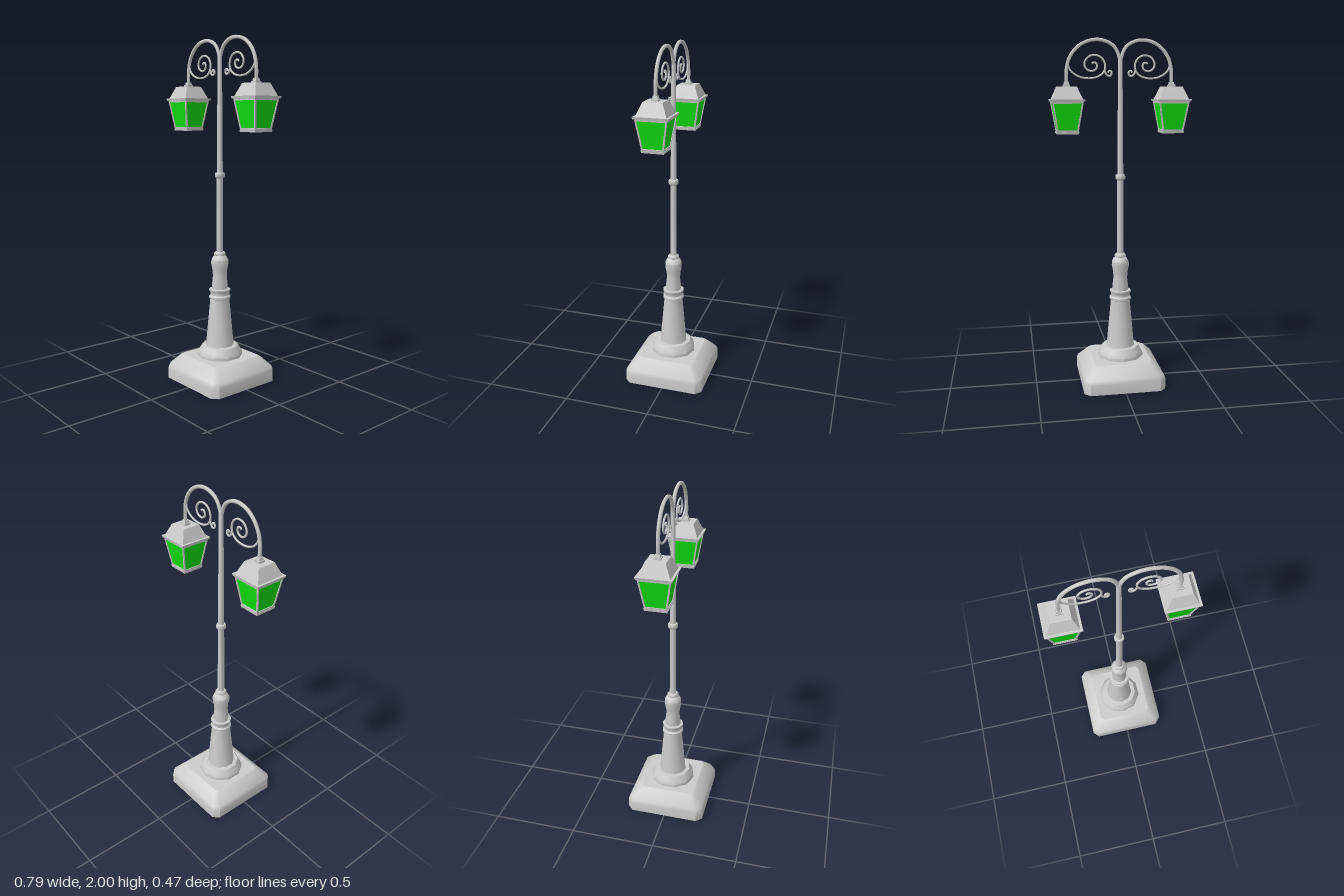
import * as THREE from 'three';
import { toCreasedNormals } from 'three/addons/utils/BufferGeometryUtils.js';

const metal = new THREE.MeshStandardMaterial({ color: 0xcccccc, side: THREE.DoubleSide });
const flatMetal = new THREE.MeshStandardMaterial({ color: 0xcccccc, flatShading: true });
const glassMat = new THREE.MeshStandardMaterial({ color: 0x10e010, flatShading: true });
const POLE_X = -0.005;
const v2 = ([x, y]) => new THREE.Vector2(x, y);

function add(parent, name, geometry, material = metal) {
  const mesh = new THREE.Mesh(geometry, material);
  mesh.name = name;
  parent.add(mesh);
  return mesh;
}

// Ten-sided turned part from [radius, height] pairs
function turned(parent, name, profile) {
  const geo = new THREE.LatheGeometry(profile.map(v2), 10);
  const mesh = add(parent, name, toCreasedNormals(geo, 0.7));
  mesh.position.x = POLE_X;
  return mesh;
}

// Square block with different half widths at the bottom and top
function squareBlock(parent, name, bottom, top, y0, y1, material = flatMetal) {
  const geo = new THREE.CylinderGeometry(top * Math.SQRT2, bottom * Math.SQRT2, y1 - y0, 4);
  geo.rotateY(Math.PI / 4).translate(0, (y0 + y1) / 2, 0);
  return add(parent, name, geo, material);
}

// Square outline with cut corners, counter-clockwise
function cutSquare(h, c) {
  const k = h - c;
  return [[h, -k], [h, k], [k, h], [-k, h], [-h, k], [-h, -k], [-k, -h], [k, -h]];
}

// Hollow base: walls lofted through cut squares, deck with a round opening
function buildBase(parent) {
  const levels = [[0.237, 0.033, 0], [0.237, 0.033, 0.064], [0.231, 0.032, 0.082],
    [0.176, 0.022, 0.142], [0.166, 0.02, 0.148]];
  const pos = [], idx = [];
  levels.forEach(([h, c, y], r) => {
    cutSquare(h, c).forEach(([x, z], i) => {
      pos.push(x, y, -z);
      if (r === 0) return;
      const j = (i + 1) % 8, a = (r - 1) * 8, b = r * 8;
      idx.push(a + i, a + j, b + j, a + i, b + j, b + i);
    });
  });
  const walls = new THREE.BufferGeometry();
  walls.setAttribute('position', new THREE.Float32BufferAttribute(pos, 3));
  walls.setIndex(idx);
  add(parent, 'baseWalls', toCreasedNormals(walls, 0.75));

  const deck = new THREE.Shape(cutSquare(0.166, 0.02).map(v2));
  const hole = new THREE.Path();
  hole.absarc(POLE_X, 0, 0.125, 0, Math.PI * 2, true);
  deck.holes.push(hole);
  const geo = new THREE.ShapeGeometry(deck, 10).rotateX(-Math.PI / 2).translate(0, 0.148, 0);
  add(parent, 'baseDeck', geo);
}

// Round bar along a smooth curve in the xy plane; side mirrors it
function bar(parent, name, points, side, radius, segments) {
  const curve = new THREE.CatmullRomCurve3(
    points.map(([x, y]) => new THREE.Vector3(POLE_X * (1 - x / 0.298) + side * x, y, 0)));
  return add(parent, name, new THREE.TubeGeometry(curve, segments, radius, 6));
}

function buildArm(parent, side) {
  const arm = new THREE.Group();
  arm.name = side > 0 ? 'leftArm' : 'rightArm';
  bar(arm, 'archedBar', [[0, 1.86], [0.008, 1.9], [0.035, 1.951], [0.085, 1.98], [0.14, 1.986],
    [0.2, 1.97], [0.25, 1.932], [0.283, 1.88], [0.297, 1.82], [0.298, 1.74]], side, 0.0105, 28);
  // Scroll runs under the arch and winds inwards
  bar(arm, 'scroll', [[0.292, 1.865], [0.277, 1.822], [0.236, 1.789], [0.18, 1.777], [0.125, 1.786],
    [0.092, 1.812], [0.084, 1.848], [0.1, 1.885], [0.138, 1.903], [0.178, 1.892], [0.199, 1.856],
    [0.188, 1.828], [0.16, 1.816], [0.135, 1.827], [0.129, 1.85], [0.142, 1.864], [0.158, 1.858]],
  side, 0.006, 60);
  bar(arm, 'smallCurl', [[0.088, 1.826], [0.079, 1.8], [0.062, 1.789], [0.049, 1.798],
    [0.05, 1.814], [0.062, 1.818], [0.068, 1.808]], side, 0.006, 20);
  parent.add(arm);
}

// One tilted lantern side: a tapered frame with a window
function sideFrame() {
  const top = 0.087, bottom = 0.06, height = 0.168;
  const slant = Math.hypot(height, top - bottom);
  const shape = new THREE.Shape([[-bottom, 0], [bottom, 0], [top, slant], [-top, slant]].map(v2));
  shape.holes.push(new THREE.Path(
    [[-0.052, 0.01], [-0.077, slant - 0.012], [0.077, slant - 0.012], [0.052, 0.01]].map(v2)));
  const geo = new THREE.ExtrudeGeometry(shape, { depth: 0.006, bevelEnabled: false });
  geo.translate(0, 0, -0.006).rotateX(Math.atan2(top - bottom, height));
  return geo.translate(0, 1.483, bottom);
}

function buildLantern(parent, side) {
  const lantern = new THREE.Group();
  lantern.name = side > 0 ? 'leftLantern' : 'rightLantern';
  lantern.position.x = side * 0.298;
  squareBlock(lantern, 'floor', 0.061, 0.063, 1.472, 1.484);
  squareBlock(lantern, 'glass', 0.056, 0.082, 1.484, 1.65, glassMat);
  const frame = sideFrame();
  for (let i = 0; i < 4; i++) add(lantern, 'sideFrame', frame, flatMetal).rotation.y = i * Math.PI / 2;
  squareBlock(lantern, 'brim', 0.093, 0.096, 1.65, 1.662);
  squareBlock(lantern, 'roof', 0.083, 0.053, 1.662, 1.732);
  squareBlock(lantern, 'capBase', 0.019, 0.019, 1.732, 1.742);
  squareBlock(lantern, 'cap', 0.015, 0.012, 1.742, 1.758);
  parent.add(lantern);
}

export function createModel() {
  const lamp = new THREE.Group();
  lamp.name = 'streetLamp';

  buildBase(lamp);
  turned(lamp, 'plinth', [[0.134, 0.146], [0.134, 0.165], [0.124, 0.186], [0.108, 0.21], [0.078, 0.211]]);
  turned(lamp, 'column', [[0.083, 0.208], [0.056, 0.495]]);
  turned(lamp, 'columnCollar', [[0.054, 0.49], [0.064, 0.496], [0.064, 0.508], [0.056, 0.516],
    [0.056, 0.53], [0.063, 0.542], [0.063, 0.55], [0.044, 0.552]]);
  turned(lamp, 'vase', [[0.046, 0.55], [0.047, 0.575], [0.041, 0.625], [0.043, 0.66], [0.051, 0.7],
    [0.05, 0.725], [0.039, 0.745], [0.029, 0.752]]);
  turned(lamp, 'vaseRing', [[0.028, 0.748], [0.034, 0.753], [0.034, 0.764], [0.028, 0.772], [0.018, 0.773]]);
  turned(lamp, 'lowerPole', [[0.02, 0.77], [0.018, 1.21]]);
  turned(lamp, 'poleRing', [[0.017, 1.203], [0.026, 1.208], [0.029, 1.214], [0.029, 1.228],
    [0.026, 1.235], [0.014, 1.238]]);
  turned(lamp, 'upperPole', [[0.0175, 1.235], [0.0125, 1.88], [0.011, 1.9], [0, 1.905]]);

  for (const side of [1, -1]) {
    buildArm(lamp, side);
    buildLantern(lamp, side);
  }
  return lamp;
}
